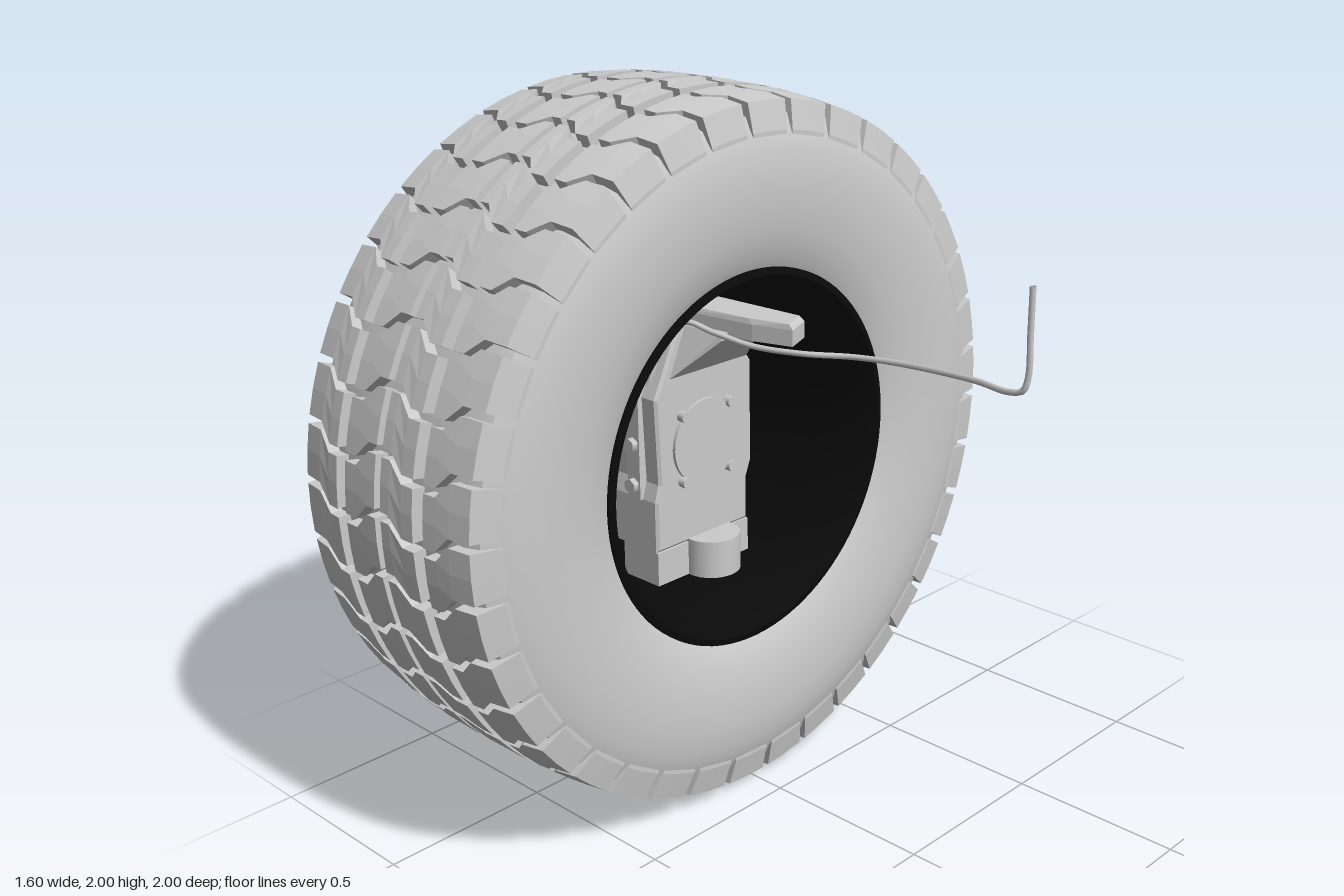
import * as THREE from 'three';
import { mergeGeometries, toCreasedNormals } from 'three/addons/utils/BufferGeometryUtils.js';
import { ConvexGeometry } from 'three/addons/geometries/ConvexGeometry.js';

const grey = new THREE.MeshStandardMaterial({ color: 0xcccccc, side: THREE.DoubleSide });
const flat = new THREE.MeshStandardMaterial({ color: 0xcccccc, flatShading: true });
const black = new THREE.MeshStandardMaterial({ color: 0x0a0a0a, side: THREE.DoubleSide });

function add(parent, name, geometry, material = grey) {
  const mesh = new THREE.Mesh(geometry, material);
  mesh.name = name;
  parent.add(mesh);
  return mesh;
}

// Revolves [radius, x] points about the x axis
function latheX(points, segments = 96) {
  const g = new THREE.LatheGeometry(points.map(([r, x]) => new THREE.Vector2(r, x)), segments);
  return toCreasedNormals(g.rotateZ(-Math.PI / 2), 0.6);
}

// Cylinder lying along x between x0 and x1
function rodX(r, x0, x1, y = 0, z = 0, sides = 20) {
  return new THREE.CylinderGeometry(r, r, x1 - x0, sides).rotateZ(-Math.PI / 2).translate((x0 + x1) / 2, y, z);
}

// Outline of [z, y] points extruded from x0 towards -x
function plateX(points, x0, depth, bevel = 0.008) {
  const shape = new THREE.Shape(points.map(([z, y]) => new THREE.Vector2(z, y)));
  const g = new THREE.ExtrudeGeometry(shape, {
    depth: depth - 2 * bevel, bevelSize: bevel, bevelThickness: bevel, bevelOffset: -bevel, bevelSegments: 1,
  });
  return g.rotateY(-Math.PI / 2).translate(x0 - bevel, 0, 0);
}

// Tread block lofted across the tyre; sections are [x, inner radius, outer radius, angle shift]
function treadBlock(sections, halfAngle) {
  const rings = sections.map(([x, ri, ro, shift]) =>
    [[ri, -1], [ro, -1], [ro, 0], [ro, 1], [ri, 1]].map(([r, side]) => {
      const a = side * halfAngle - shift;
      return [x, r * Math.cos(a), r * Math.sin(a)];
    }));
  const pos = [];
  const tri = (...corners) => corners.forEach(c => pos.push(...c));
  for (let i = 0; i < rings.length - 1; i++) {
    for (let j = 0; j < 5; j++) {
      const k = (j + 1) % 5, p = rings[i], q = rings[i + 1];
      tri(p[j], p[k], q[k]);
      tri(p[j], q[k], q[j]);
    }
  }
  const first = rings[0], last = rings[rings.length - 1];
  for (let j = 1; j < 4; j++) {
    tri(first[0], first[j + 1], first[j]);
    tri(last[0], last[j], last[j + 1]);
  }
  const g = new THREE.BufferGeometry();
  g.setAttribute('position', new THREE.Float32BufferAttribute(pos, 3));
  g.computeVertexNormals();
  return g;
}

// Ring of copies of a geometry about the x axis
function ringX(geometry, count, start = 0) {
  return mergeGeometries(Array.from({ length: count }, (_, i) =>
    geometry.clone().rotateX(start + i * 2 * Math.PI / count)));
}

function buildTyre(wheel) {
  // Carcass: half profile mirrored about the middle plane
  const half = [[0.53, 0.325], [0.56, 0.34], [0.63, 0.357], [0.7, 0.366], [0.78, 0.368],
    [0.85, 0.361], [0.9, 0.348], [0.94, 0.33], [0.957, 0.29], [0.962, 0.1]];
  const profile = [...half.map(([r, x]) => [r, -x]), ...half.slice().reverse(), [0.53, -0.325]];
  add(wheel, 'tyreCarcass', latheX(profile, 128));

  // Zigzag tread in four rows
  const count = 38, halfAngle = Math.PI / count - 0.012;
  const inner = [[0.012, 0.94, 1, 0.048], [0.045, 0.94, 1, 0.048], [0.095, 0.94, 0.999, 0], [0.14, 0.94, 0.998, 0]];
  const outer = [[0.18, 0.94, 0.996, 0], [0.22, 0.94, 0.993, 0], [0.268, 0.94, 0.988, 0.048],
    [0.338, 0.92, 0.978, 0.048], [0.355, 0.89, 0.9, 0.048]];
  [['centreTread', inner], ['shoulderTread', outer]].forEach(([name, row]) => {
    const mirrored = row.map(([x, ...rest]) => [-x, ...rest]).reverse();
    [['Left', row], ['Right', mirrored]].forEach(([side, sections]) =>
      add(wheel, name + side, ringX(treadBlock(sections, halfAngle), count), flat));
  });
}

function buildRim(wheel) {
  // Barrel with a lip at both sides
  add(wheel, 'rimBarrel', latheX([[0.535, -0.335], [0.535, -0.31], [0.5, -0.29], [0.485, -0.15], [0.485, 0.15],
    [0.5, 0.29], [0.535, 0.31], [0.535, 0.335], [0.515, 0.34], [0.49, 0.3], [0.47, 0.15], [0.47, -0.15],
    [0.49, -0.3], [0.515, -0.34], [0.535, -0.335]]), black);
  // Wheel disc with a raised hub
  add(wheel, 'wheelDisc', latheX([[0, -0.25], [0.11, -0.25], [0.13, -0.23], [0.2, -0.22], [0.22, -0.2],
    [0.47, -0.19], [0.48, -0.16], [0, -0.16]]), black);

  // Outer wheel bolts pass through the disc
  const bolt = mergeGeometries([rodX(0.017, -0.3, -0.14, 0.37, 0, 16), rodX(0.027, -0.235, -0.19, 0.37, 0, 6),
    rodX(0.023, -0.155, -0.13, 0.37)]);
  add(wheel, 'wheelBolts', ringX(bolt, 12, Math.PI / 2 - 0.07));
  const hubBolt = mergeGeometries([rodX(0.024, -0.245, -0.22, 0.165, 0, 6), rodX(0.014, -0.27, -0.24, 0.165, 0, 12)]);
  add(wheel, 'hubBolts', ringX(hubBolt, 8, 0.2));
  add(wheel, 'hubCap', latheX([[0, -0.285], [0.035, -0.285], [0.042, -0.27], [0.068, -0.27], [0.072, -0.25]], 40));
  add(wheel, 'hubCapBolts', ringX(rodX(0.011, -0.275, -0.245, 0.09, 0, 6), 8));
}

function buildKnuckle(wheel) {
  const knuckle = new THREE.Group();
  knuckle.name = 'steeringKnuckle';
  wheel.add(knuckle);
  const face = 0.14;

  // Housing with a tapered top
  add(knuckle, 'housing', plateX([[-0.17, -0.28], [0.19, -0.28], [0.19, -0.13], [0.175, -0.08], [0.185, 0.17],
    [0.16, 0.22], [0.09, 0.37], [-0.09, 0.37], [-0.17, 0.23], [-0.19, 0.2], [-0.19, -0.1], [-0.17, -0.15]],
    face, 0.18), flat);
  add(knuckle, 'axleSpindle', rodX(0.15, -0.16, 0, 0, 0, 40));

  // Round cover with four bolts
  add(knuckle, 'cover', rodX(0.125, face - 0.01, face + 0.01, 0.01, 0, 48));
  for (const y of [-0.09, 0.105]) for (const z of [-0.09, 0.09])
    add(knuckle, 'coverBolt', rodX(0.016, face, face + 0.022, y, z, 12));

  // Lower bracket and its half-round boss
  add(knuckle, 'lowerBracket', new THREE.BoxGeometry(0.14, 0.1, 0.36).translate(0.07, -0.33, 0.01));
  add(knuckle, 'lowerBoss', new THREE.CylinderGeometry(0.083, 0.083, 0.11, 32).translate(0.15, -0.325, -0.01));

  // Side flanges with bolt heads
  for (const s of [-1, 1]) {
    add(knuckle, 'sideFlange', new THREE.BoxGeometry(0.05, 0.34, 0.03).translate(0.06, 0.04, s * 0.185));
    for (const y of [-0.09, 0.03, 0.16])
      add(knuckle, 'flangeBolt', new THREE.CylinderGeometry(0.022, 0.022, 0.03, 6)
        .rotateX(Math.PI / 2).translate(0.06, y, s * 0.203));
  }

  // Top arm, skewed backwards at its outer end, on a sloping gusset
  const pt = (x, y, z) => new THREE.Vector3(x, y, z);
  const armBase = [[0.02, 0.07], [0.02, -0.07], [0.43, -0.095], [0.465, -0.01], [0.35, 0.025]];
  const arm = armBase.flatMap(([x, z]) => [pt(x, 0.35, z), pt(x, 0.395, z), pt(x - 0.012, 0.41, z * 0.92)]);
  add(knuckle, 'topArm', new ConvexGeometry(arm), flat);
  const gusset = [-1, 1].flatMap(s => [pt(face, 0.22, s * 0.15 - 0.02), pt(0.05, 0.22, s * 0.15 - 0.02),
    pt(0.05, 0.36, s * 0.075), pt(0.27, 0.36, s * 0.075 - 0.015), pt(0.27, 0.34, s * 0.075 - 0.015)]);
  add(knuckle, 'armGusset', new ConvexGeometry(gusset), flat);
}

// Thin air line from the knuckle out to its upright end
function buildAirLine(group) {
  const points = [[-0.34, 1.19, 0.165], [-0.31, 1.33, 0.125], [-0.26, 1.382, 0.1], [-0.17, 1.365, 0.075],
    [-0.06, 1.345, 0.045], [0.08, 1.345, 0.005], [0.2, 1.347, -0.06], [0.33, 1.355, -0.08], [0.6, 1.38, -0.045],
    [0.74, 1.392, -0.003], [0.78, 1.405, 0], [0.79, 1.44, -0.004], [0.79, 1.55, -0.004], [0.79, 1.66, -0.004]];
  const path = new THREE.CatmullRomCurve3(points.map(p => new THREE.Vector3(...p)));
  add(group, 'airLine', new THREE.TubeGeometry(path, 120, 0.008, 8));
}

export function createModel() {
  const model = new THREE.Group();
  model.name = 'wheelAssembly';
  const wheel = new THREE.Group();
  wheel.name = 'wheel';
  wheel.position.set(-0.43, 1, 0);
  model.add(wheel);
  buildTyre(wheel);
  buildRim(wheel);
  buildKnuckle(wheel);
  buildAirLine(model);
  return model;
}
